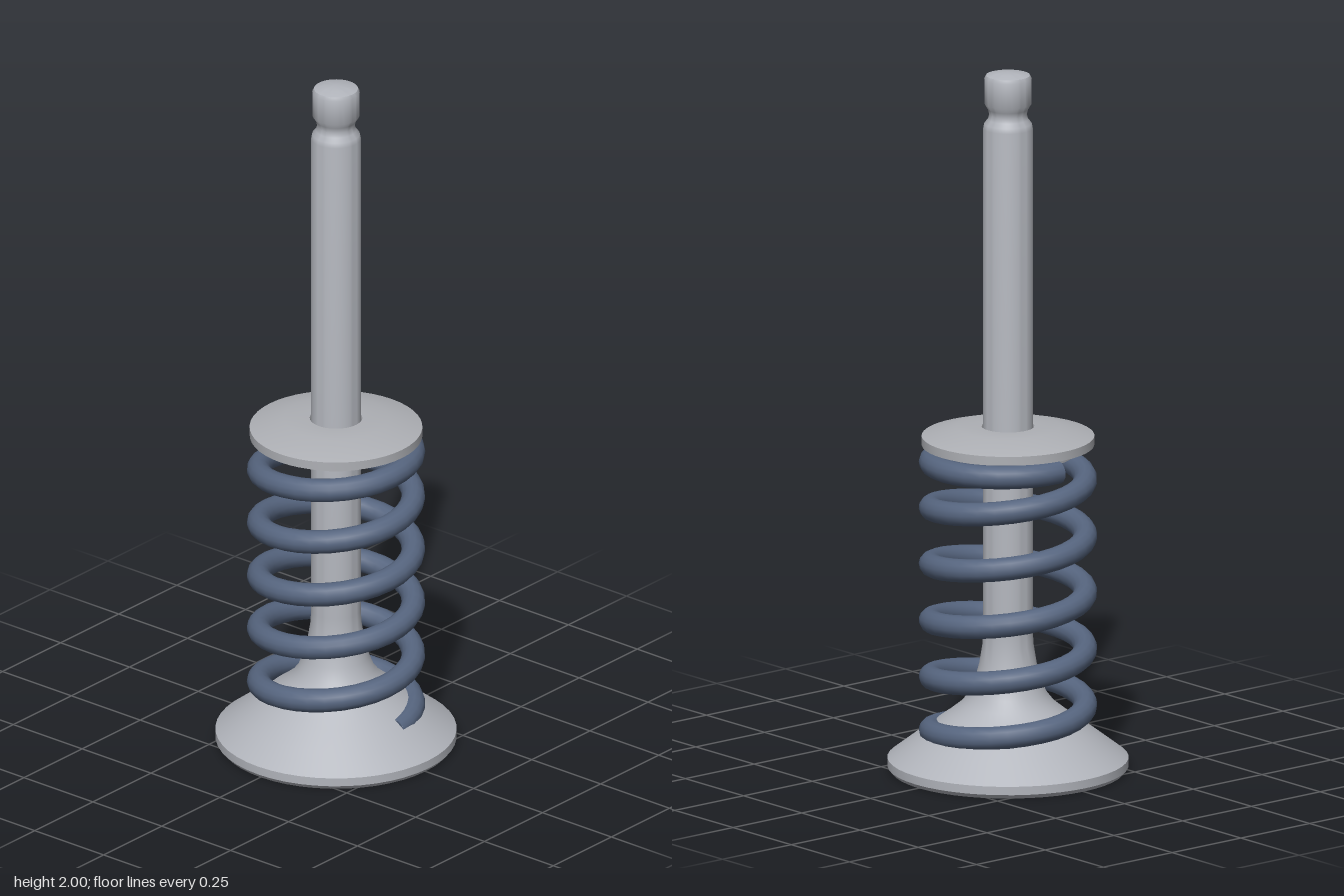
import * as THREE from 'three';
import { toCreasedNormals } from 'three/addons/utils/BufferGeometryUtils.js';

const steel = new THREE.MeshStandardMaterial({ color: 0xb2b5bc });
steel.name = 'valve steel';
const retainerSteel = new THREE.MeshStandardMaterial({ color: 0xaeb0b5 });
retainerSteel.name = 'retainer steel';
const springBlue = new THREE.MeshStandardMaterial({ color: 0x56657f });
springBlue.name = 'spring blue';

// Turned part from [radius, height] pairs, listed bottom to top on the outside
function turned(name, profile, material) {
  const points = profile.map(([r, y]) => new THREE.Vector2(r, y));
  const geometry = toCreasedNormals(new THREE.LatheGeometry(points, 48), 0.6);
  const mesh = new THREE.Mesh(geometry, material);
  mesh.name = name;
  return mesh;
}

// Compression spring path: even pitch with flattened end coils
const QUARTER = Math.PI / 2;
const heights = [0.095, 0.128, 0.163, 0.204];
for (let i = 1; i <= 16; i++) heights.push(0.204 + (0.646 * i) / 16);
heights.push(0.877, 0.888, 0.895);

class SpringPath extends THREE.Curve {
  getPoint(t, target = new THREE.Vector3()) {
    const s = t * (heights.length - 1);
    const i = Math.min(Math.floor(s), heights.length - 2);
    const y = THREE.MathUtils.lerp(heights[i], heights[i + 1], s - i);
    const a = (s - 1) * QUARTER;
    return target.set(0.215 * Math.cos(a), y, -0.215 * Math.sin(a));
  }
}

function createSpring() {
  const group = new THREE.Group();
  group.name = 'spring';
  const path = new SpringPath();
  const wire = 0.033;
  const coil = new THREE.Mesh(new THREE.TubeGeometry(path, 170, wire, 14), springBlue);
  coil.name = 'springCoil';
  group.add(coil);

  // Flat cut ends of the wire
  for (const [t, sign] of [[0, -1], [1, 1]]) {
    const cap = new THREE.Mesh(new THREE.CircleGeometry(wire, 14), springBlue);
    cap.name = 'springEnd';
    const outward = path.getTangent(t).multiplyScalar(sign);
    cap.position.copy(path.getPoint(t));
    cap.quaternion.setFromUnitVectors(new THREE.Vector3(0, 0, 1), outward);
    group.add(cap);
  }
  return group;
}

export function createModel() {
  const model = new THREE.Group();
  model.name = 'engineValve';

  // Valve: disc head, flared neck, stem, keeper groove and domed tip
  model.add(turned('valve', [
    [0, 0], [0.325, 0], [0.335, 0.012], [0.335, 0.036],
    [0.27, 0.086], [0.215, 0.128], [0.165, 0.164], [0.13, 0.192], [0.107, 0.222],
    [0.092, 0.26], [0.08, 0.305], [0.071, 0.36], [0.069, 0.4],
    [0.069, 1.838], [0.066, 1.852], [0.056, 1.864], [0.052, 1.878],
    [0.056, 1.893], [0.065, 1.908], [0.066, 1.98], [0.061, 1.99],
    [0.035, 1.997], [0, 2],
  ], steel));

  // Spring retainer: rim, sloped top and locating step underneath
  model.add(turned('springRetainer', [
    [0.069, 0.905], [0.185, 0.905], [0.185, 0.932], [0.24, 0.932], [0.24, 0.957],
    [0.145, 0.984], [0.073, 0.984], [0.069, 0.97], [0.069, 0.905],
  ], retainerSteel));

  model.add(createSpring());
  return model;
}
